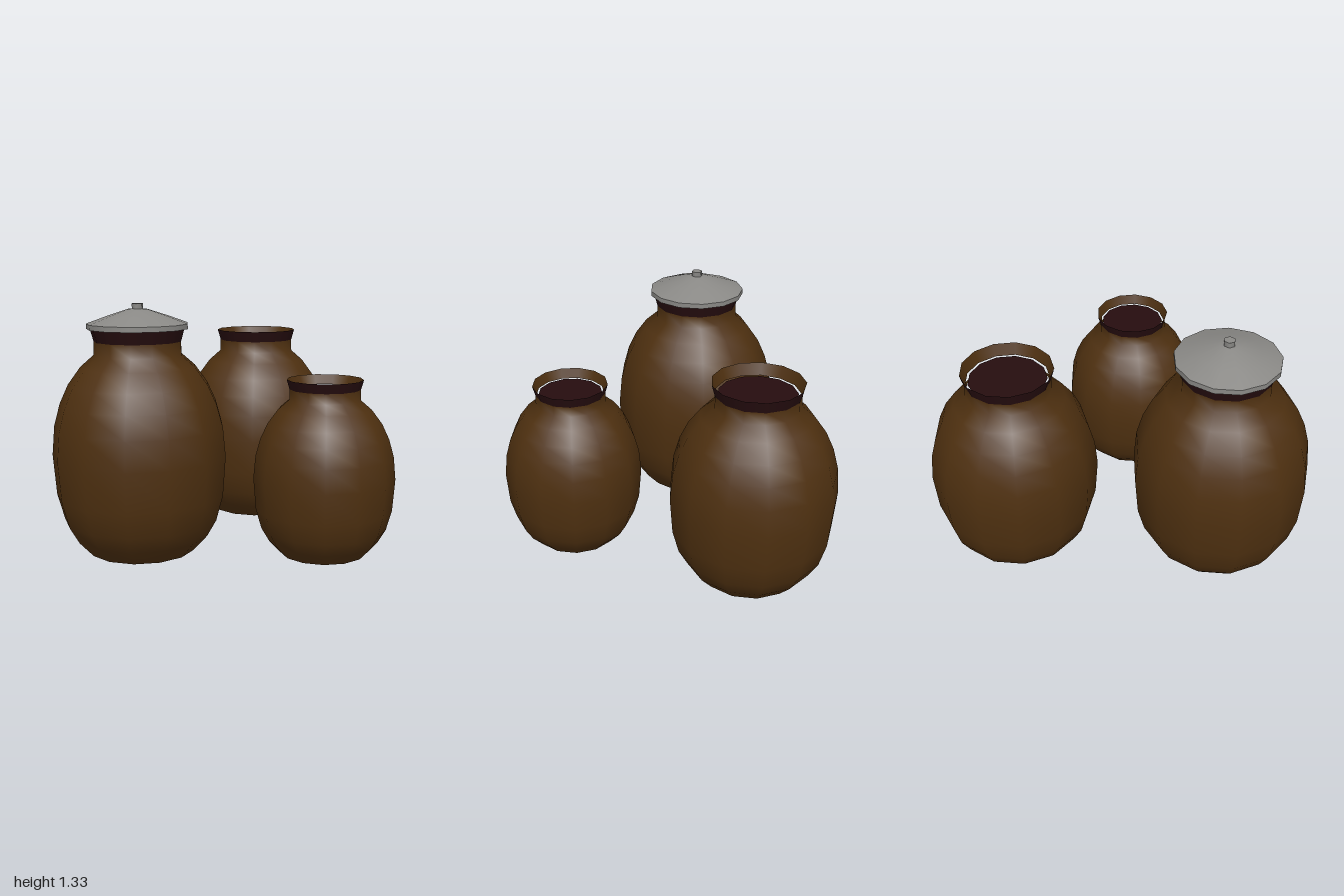
import * as THREE from 'three';

const SIDES = 13;

const mat = (name, color) => {
  const m = new THREE.MeshStandardMaterial({ color });
  m.name = name;
  return m;
};

// Revolves [radius, y] pairs: upward profiles face out, downward ones face in
function lathe(name, profile, material, sides = SIDES) {
  const points = profile.map(([r, y]) => new THREE.Vector2(r, y));
  const mesh = new THREE.Mesh(new THREE.LatheGeometry(points, sides), material);
  mesh.name = name;
  return mesh;
}

// Jar body as fractions of the largest radius and the total height
const BODY = [
  [0.61, 0], [0.775, 0.07], [0.885, 0.145], [0.965, 0.26], [1, 0.44],
  [0.97, 0.57], [0.9, 0.67], [0.8, 0.755], [0.655, 0.833], [0.5, 0.886], [0.497, 0.945],
];

function makeJar(name, x, z, R, H, mats) {
  const jar = new THREE.Group();
  jar.name = name;
  jar.position.set(x, 0, z);
  const scaled = (list) => list.map(([r, y]) => [r * R, y * H]);

  jar.add(lathe('body', scaled(BODY), mats.clay));
  jar.add(lathe('base', scaled([[0, 0], [0.61, 0]]), mats.clay));
  // flared collar: dark outside, clay inside
  jar.add(lathe('rim', scaled([[0.497, 0.945], [0.537, 1]]), mats.dark));
  jar.add(lathe('rimInside', scaled([[0.535, 1], [0.482, 0.945]]), mats.clay));
  // dark contents, a little narrower than the neck
  jar.add(lathe('contents', scaled([[0.455, 0.945], [0, 0.945]]), mats.dark));
  return jar;
}

function makeLid(y, material) {
  const lid = new THREE.Group();
  lid.name = 'lid';
  lid.position.y = y;
  lid.add(lathe('lidUnderside', [[0, 0], [0.27, 0]], material));
  lid.add(lathe('lidEdge', [[0.27, 0], [0.27, 0.027]], material));
  lid.add(lathe('lidTop', [[0.27, 0.027], [0.16, 0.067], [0.05, 0.103], [0, 0.106]], material));
  // six-sided knob
  lid.add(lathe('knobSide', [[0.03, 0.09], [0.03, 0.132]], material, 6));
  lid.add(lathe('knobTop', [[0.03, 0.132], [0, 0.132]], material, 6));
  return lid;
}

export function createModel() {
  const mats = {
    clay: mat('brown clay', 0x4e3010),
    dark: mat('dark maroon', 0x260d0f),
    lid: mat('grey lid', 0x8a8986),
  };
  const model = new THREE.Group();
  model.name = 'jars';

  const tall = makeJar('tallJar', -0.535, -0.363, 0.468, 1.2, mats);
  tall.add(makeLid(1.2, mats.lid));
  model.add(tall);
  model.add(makeJar('mediumJar', 0.56, -0.413, 0.443, 1.122, mats));
  model.add(makeJar('smallJar', 0.01, 0.46, 0.378, 0.94, mats));
  return model;
}
